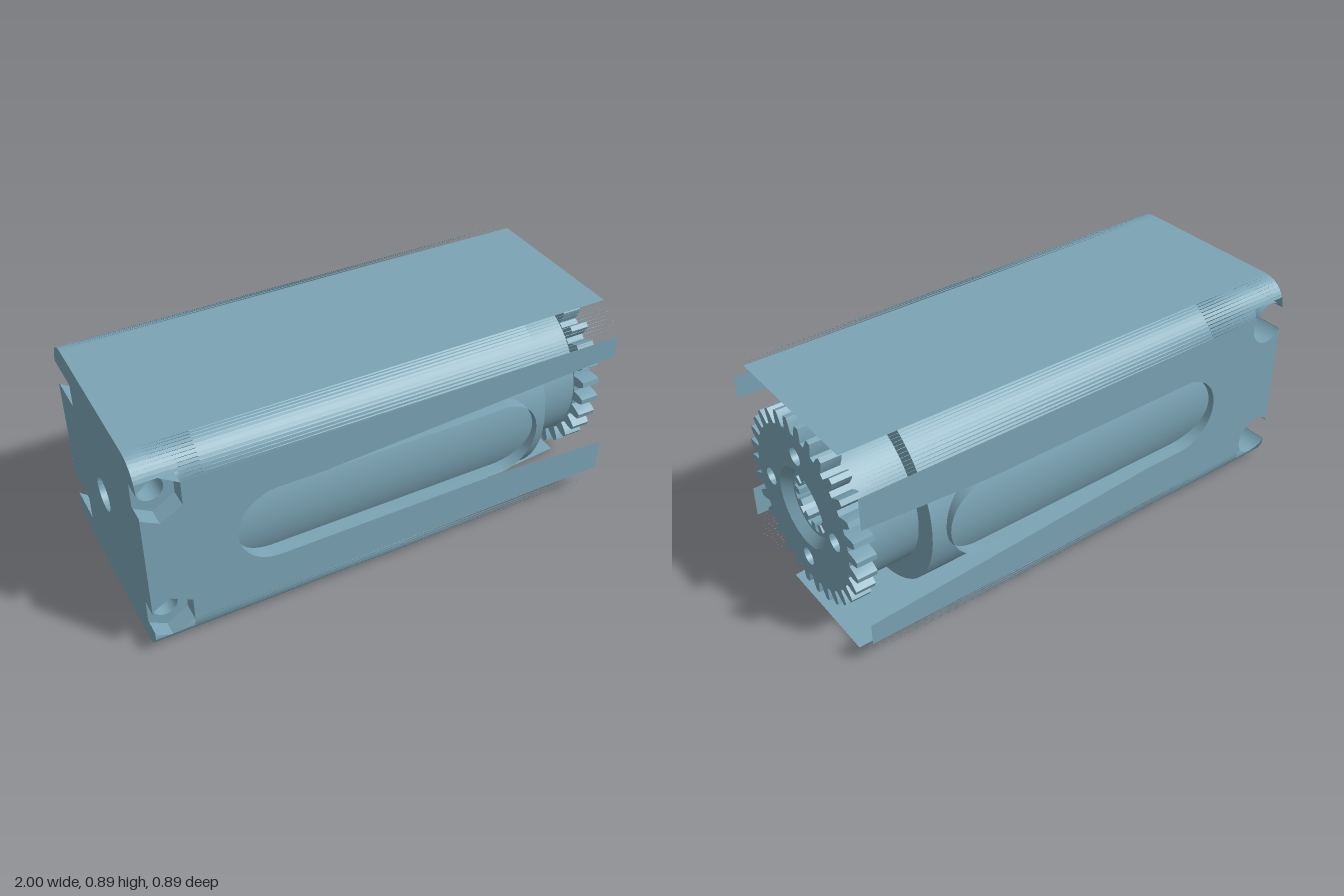
import * as THREE from 'three';
import { toCreasedNormals } from 'three/addons/utils/BufferGeometryUtils.js';

const H = 0.443, FLAT = 0.333, R = 0.11;      // half width, flat half width, corner radius
const BOLT_X = -0.93, BOLT_Y = 0.282, SLOT_X = 0.485, SLOT_R = 0.165, CORE_R = 0.415;
const TAU = Math.PI * 2;
const polar = (r, a) => new THREE.Vector2(r * Math.cos(a), r * Math.sin(a));
const pts = list => list.map(([x, y]) => new THREE.Vector2(x, y));

function circleHole(x, y, r) {
  return new THREE.Path().absarc(x, y, r, 0, TAU, true);
}

// Surface swept between two equal rows of points
function loft(a, b) {
  const pos = [];
  for (let i = 0; i < a.length - 1; i++) {
    for (const p of [a[i], a[i + 1], b[i], a[i + 1], b[i + 1], b[i]]) pos.push(...p);
  }
  const g = new THREE.BufferGeometry();
  g.setAttribute('position', new THREE.Float32BufferAttribute(pos, 3));
  g.computeVertexNormals();
  return toCreasedNormals(g, 0.6);
}

export function createModel() {
  const model = new THREE.Group();
  model.name = 'gearMotor';
  const body = new THREE.Group();
  body.name = 'body';
  body.position.y = H;
  model.add(body);
  const steel = new THREE.MeshStandardMaterial({ color: 0x7ba4b5, side: THREE.DoubleSide });
  steel.name = 'steelBlue';
  const add = (name, geo, parent = body) => {
    const m = new THREE.Mesh(geo, steel);
    m.name = name;
    parent.add(m);
    return m;
  };
  // Revolved part along x: points are [radius, x]
  const lathe = (name, list) =>
    add(name, toCreasedNormals(new THREE.LatheGeometry(pts(list), 64).rotateZ(-Math.PI / 2), 0.5));

  // Top and tapering bottom plates
  add('topPlate', new THREE.PlaneGeometry(2, 2 * FLAT).rotateX(-Math.PI / 2).translate(0, H, 0));
  const bottom = new THREE.Shape(pts([[-1, FLAT], [-1, -FLAT], [1, -FLAT], [1, 0.15]]));
  add('bottomPlate', new THREE.ShapeGeometry(bottom).rotateX(Math.PI / 2).translate(0, -H, 0));

  // Side plates: slot opening out to the gear end, and bolt pockets at the closed end
  const hexCut = [[0.087, -0.051], [0.087, 0.05], [0, 0.1], [-0.07, 0.06]];
  const roundCut = [];
  for (let i = 0; i <= 14; i++) {
    const p = polar(0.0876, -0.62 + (i / 14) * 3.12);
    roundCut.push([p.x, p.y]);
  }
  const sidePlate = (name, cut) => {
    const low = cut.map(([x, y]) => [BOLT_X + x, y - BOLT_Y]);
    const high = low.map(([x, y]) => [x, -y]).reverse();
    const slot = [];
    for (let i = 0; i <= 24; i++) {
      const p = polar(SLOT_R, Math.PI / 2 + (i / 24) * Math.PI);
      slot.push([p.x - SLOT_X, p.y]);
    }
    const outline = [...low, ...high, [1, FLAT], [1, 0.242], [-0.3, SLOT_R], ...slot,
      [SLOT_X, -SLOT_R], [1, -0.198], [1, -FLAT]];
    return add(name, new THREE.ShapeGeometry(new THREE.Shape(pts(outline))).translate(0, 0, H));
  };
  sidePlate('frontPlate', hexCut);
  sidePlate('backPlate', roundCut).geometry.rotateX(Math.PI);

  // Slot walls running in to the core
  const rim = [], inner = [];
  for (let i = 0; i <= 48; i++) {
    const a = Math.PI / 2 + ((i % 48) / 48) * TAU;
    const p = polar(SLOT_R, a);
    const x = p.x + (i > 24 && i < 48 ? SLOT_X : -SLOT_X);
    rim.push([x, p.y, H]);
    inner.push([x, p.y, Math.sqrt(CORE_R ** 2 - p.y ** 2)]);
  }
  rim.splice(48, 0, [SLOT_X, SLOT_R, H]);
  inner.splice(48, 0, [SLOT_X, SLOT_R, inner[0][2]]);
  add('frontSlotWall', loft(rim, inner));
  add('backSlotWall', loft(rim, inner).rotateX(Math.PI));

  // Rounded corners: slats that taper toward the gear end
  const slats = [], N = 12;
  for (let q = 0; q < 4; q++) {
    const c = polar(FLAT * Math.SQRT2, (q + 0.5) * Math.PI / 2);
    for (let i = 0; i < N; i++) {
      const [p0, p1] = [i, i + 1].map(k => polar(R, (q + k / N) * Math.PI / 2).add(c));
      const x0 = Math.abs(p0.y + p1.y) / 2 < 0.375 ? -0.843 : -1;
      slats.push(x0, p0.y, p0.x, 1, p0.y, p0.x, x0, p1.y, p1.x);
    }
  }
  const cornerGeo = new THREE.BufferGeometry();
  cornerGeo.setAttribute('position', new THREE.Float32BufferAttribute(slats, 3));
  cornerGeo.computeVertexNormals();
  add('cornerSlats', cornerGeo);

  // Closed end wall, notched by the bolt pockets
  const wall = new THREE.Shape();
  wall.moveTo(-FLAT, -H).lineTo(FLAT, -H);
  wall.absarc(FLAT, -FLAT, R, -Math.PI / 2, 0);
  for (const y of [-BOLT_Y, BOLT_Y]) {
    wall.lineTo(H, y - 0.05).lineTo(0.37, y - 0.05).lineTo(0.37, y + 0.05).lineTo(H, y + 0.05);
  }
  wall.absarc(FLAT, FLAT, R, 0, Math.PI / 2);
  wall.absarc(-FLAT, FLAT, R, Math.PI / 2, Math.PI);
  for (const y of [BOLT_Y, -BOLT_Y]) {
    wall.lineTo(-H, y + 0.05).lineTo(-0.265, y + 0.05).lineTo(-0.265, y - 0.05).lineTo(-H, y - 0.05);
  }
  wall.absarc(-FLAT, -FLAT, R, Math.PI, Math.PI * 1.5);
  wall.holes.push(circleHole(0, 0, 0.07));
  add('endWall', new THREE.ShapeGeometry(wall, 16).rotateY(-Math.PI / 2).translate(-1, 0, 0));
  lathe('endHole', [[0.07, -1], [0.07, -0.72]]);

  // Bolt holes: hexagon pocket in front, round counterbore behind
  for (const y of [-BOLT_Y, BOLT_Y]) {
    const bolt = new THREE.Group();
    bolt.name = y > 0 ? 'upperBoltHole' : 'lowerBoltHole';
    bolt.position.set(BOLT_X, y, 0);
    body.add(bolt);
    const tube = new THREE.CylinderGeometry(0.05, 0.05, 0.635, 32, 1, true);
    add('boltTube', tube.rotateX(Math.PI / 2).translate(0, 0, 0.0525), bolt);
    const hex = pts([[-0.07, -0.06], [0, -0.1], [0.087, -0.05], [0.087, 0.05], [0, 0.1], [-0.07, 0.06]]);
    const floor = new THREE.Shape([...hex]);
    floor.holes.push(circleHole(0, 0, 0.05));
    add('hexFloor', new THREE.ShapeGeometry(floor, 16).translate(0, 0, 0.37), bolt);
    // pocket walls stop at the rounded corner
    const top = v => {
      const d = Math.max(0, Math.abs(y + v.y) - FLAT);
      return FLAT + Math.sqrt(R * R - d * d);
    };
    add('hexWalls', loft(hex.map(v => [v.x, v.y, 0.37]), hex.map(v => [v.x, v.y, top(v)])), bolt);
    const arc = [];
    for (let i = 0; i <= 32; i++) arc.push(polar(0.0876, -2.5 + (i / 32) * 5));
    add('counterboreWall', loft(arc.map(v => [v.x, v.y, -0.265]), arc.map(v => [v.x, v.y, -top(v)])), bolt);
    const seat = new THREE.Shape(arc);
    seat.holes.push(circleHole(0, 0, 0.05));
    add('counterboreFloor', new THREE.ShapeGeometry(seat, 16).rotateY(Math.PI).scale(-1, 1, 1)
      .translate(0, 0, -0.265), bolt);
  }

  // Motor core with stepped neck
  lathe('motorCore', [[0, -0.72], [CORE_R, -0.72], [CORE_R, 0.71], [0.325, 0.71], [0.325, 0.925], [0.13, 0.925]]);

  // Output gear with four holes
  const teeth = [], TEETH = 30;
  for (let i = 0; i < TEETH; i++) {
    const a = (i + 0.5) * TAU / TEETH;
    for (const [r, d] of [[0.33, -0.07], [0.365, -0.05], [0.386, -0.028], [0.386, 0.028], [0.365, 0.05], [0.33, 0.07]]) {
      teeth.push(polar(r, a + d + Math.PI / 2));
    }
  }
  const gear = new THREE.Shape(teeth);
  gear.holes.push(circleHole(0, 0, 0.163));
  for (let i = 0; i < 4; i++) {
    const p = polar(0.235, i * Math.PI / 2);
    gear.holes.push(circleHole(p.x, p.y, 0.037));
  }
  const extrudeX = (shape, x0, x1) => toCreasedNormals(
    new THREE.ExtrudeGeometry(shape, { depth: x1 - x0, bevelEnabled: false, curveSegments: 20 })
      .rotateY(Math.PI / 2).translate(x0, 0, 0), 0.4);
  add('outputGear', extrudeX(gear, 0.92, 1));
  lathe('gearChamfer', [[0.13, 0.965], [0.163, 1]]);

  // Splined socket with a central pin
  const spline = [];
  for (let i = 0; i < 12; i++) {
    const a = i * TAU / 12;
    for (const [r, d] of [[0.117, -0.14], [0.085, -0.15], [0.085, 0.15], [0.117, 0.14]]) spline.push(polar(r, a + d));
  }
  const socket = new THREE.Shape().absarc(0, 0, 0.132, 0, TAU);
  socket.holes.push(new THREE.Path(spline));
  add('splineSocket', extrudeX(socket, 0.5, 0.965));
  add('socketFloor', new THREE.CircleGeometry(0.125, 32).rotateY(Math.PI / 2).translate(0.5, 0, 0));
  lathe('centrePin', [[0.036, 0.5], [0.036, 0.8], [0, 0.8]]);
  return model;
}
